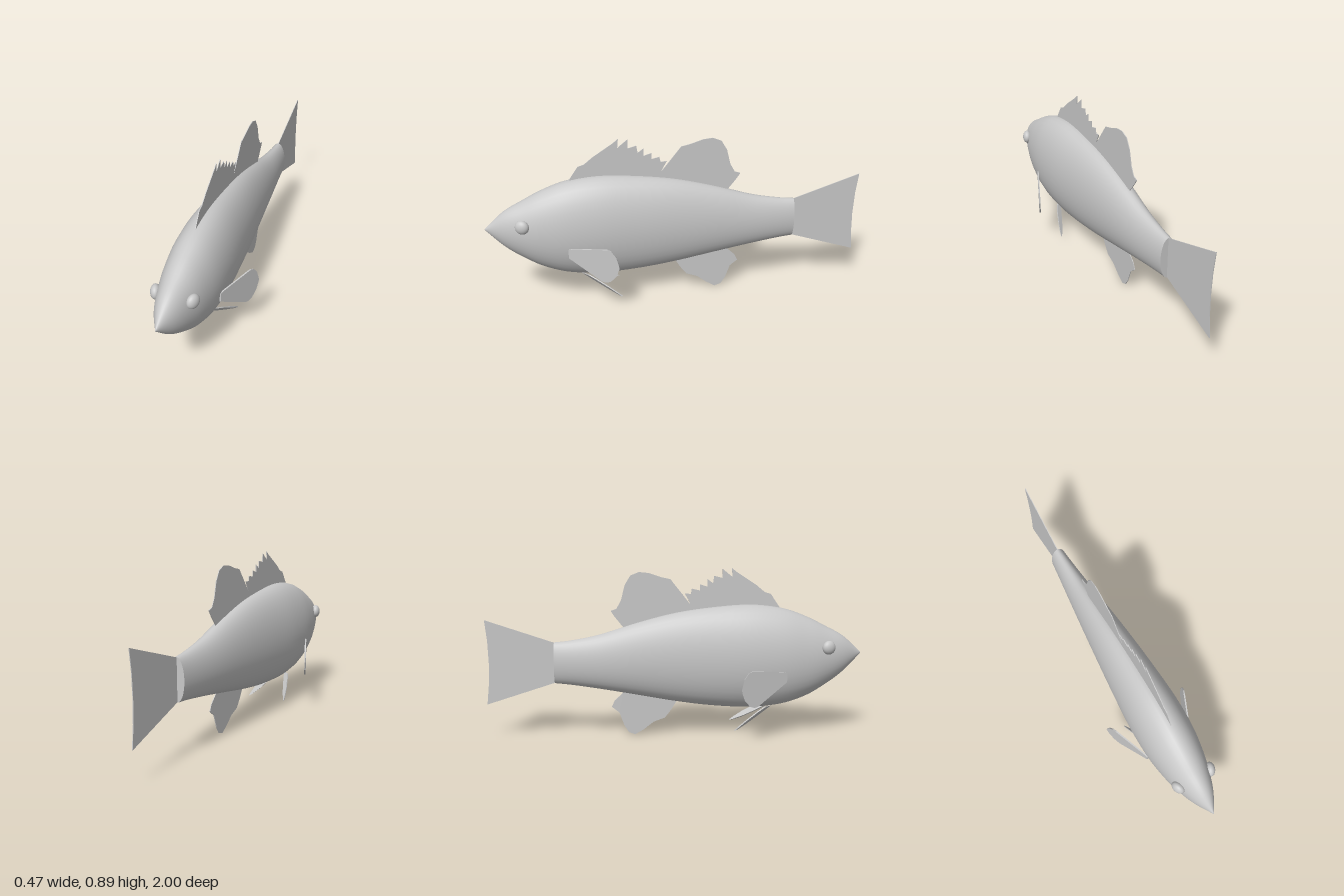
import * as THREE from 'three';

const grey = new THREE.MeshStandardMaterial({ color: 0xc8c8c8 });
grey.name = 'grey';

// body stations: z, top y, bottom y, half width
const STATIONS = [
  [0.997, 0.447, 0.437, 0.003], [0.9, 0.535, 0.338, 0.058], [0.8, 0.59, 0.265, 0.094],
  [0.7, 0.64, 0.208, 0.118], [0.57, 0.685, 0.166, 0.135], [0.4, 0.705, 0.15, 0.137],
  [0.2, 0.692, 0.16, 0.124], [0, 0.663, 0.186, 0.107], [-0.2, 0.612, 0.222, 0.088],
  [-0.4, 0.55, 0.257, 0.067], [-0.55, 0.52, 0.28, 0.051], [-0.64, 0.51, 0.29, 0.042],
];

// smooth loft of elliptical rings from nose to tail root
function bodyGeometry(rings = 66, sides = 36) {
  const top = new THREE.CatmullRomCurve3(STATIONS.map(([z, t, , w]) => new THREE.Vector3(w, t, z)), false, 'catmullrom');
  const low = new THREE.CatmullRomCurve3(STATIONS.map(([z, , b, w]) => new THREE.Vector3(w, b, z)), false, 'catmullrom');
  const pos = [], idx = [];
  for (let i = 0; i <= rings; i++) {
    const a = top.getPoint(i / rings), b = low.getPoint(i / rings);
    const cy = (a.y + b.y) / 2, ry = (a.y - b.y) / 2;
    for (let j = 0; j < sides; j++) {
      const ang = (j / sides) * Math.PI * 2;
      pos.push(a.x * Math.cos(ang), cy + ry * Math.sin(ang), a.z);
      if (i < rings) {
        const p = i * sides + j, q = i * sides + (j + 1) % sides;
        idx.push(p, p + sides, q, q, p + sides, q + sides);
      }
    }
  }
  // nose point
  const nose = pos.length / 3;
  pos.push(0, 0.442, 1);
  for (let j = 0; j < sides; j++) idx.push(nose, j, (j + 1) % sides);
  const g = new THREE.BufferGeometry();
  g.setAttribute('position', new THREE.Float32BufferAttribute(pos, 3));
  g.setIndex(idx);
  g.computeVertexNormals();
  return g;
}

// thin plate from an outline, centred on its own plane
function plate(points, thickness) {
  const shape = new THREE.Shape(points.map(([u, v]) => new THREE.Vector2(u, v)));
  return new THREE.ExtrudeGeometry(shape, { depth: thickness, bevelEnabled: false })
    .translate(0, 0, -thickness / 2);
}

// plate standing in the z-y plane
const uprightPlate = (points, thickness) => plate(points, thickness).rotateY(-Math.PI / 2);

// move every vertex by a rule
function bend(geometry, rule) {
  const p = geometry.attributes.position, v = new THREE.Vector3();
  for (let i = 0; i < p.count; i++) {
    rule(v.fromBufferAttribute(p, i));
    p.setXYZ(i, v.x, v.y, v.z);
  }
  geometry.computeVertexNormals();
  return geometry;
}

// fin outlines as [z, y]
const SPINY_FIN = [
  [0.555, 0.66], [0.555, 0.69], [0.507, 0.76], [0.475, 0.77], [0.43, 0.807], [0.324, 0.877],
  [0.298, 0.898], [0.303, 0.85], [0.25, 0.893], [0.25, 0.845], [0.206, 0.857], [0.2, 0.818],
  [0.17, 0.84], [0.17, 0.80], [0.13, 0.813], [0.13, 0.78], [0.088, 0.79], [0.083, 0.762],
  [0.05, 0.765], [0.07, 0.73], [0.1, 0.66],
];
const SOFT_FIN = [
  [0.1, 0.65], [0.1, 0.682], [-0.025, 0.84], [-0.07, 0.85], [-0.14, 0.873], [-0.19, 0.878],
  [-0.235, 0.86], [-0.265, 0.81], [-0.285, 0.73], [-0.31, 0.685], [-0.34, 0.675],
  [-0.32, 0.645], [-0.275, 0.588], [-0.275, 0.55],
];
const ANAL_FIN = [
  [0.01, 0.22], [0.01, 0.19], [-0.02, 0.14], [-0.055, 0.094], [-0.115, 0.072], [-0.17, 0.03],
  [-0.215, 0.003], [-0.25, 0.015], [-0.275, 0.055], [-0.3, 0.125], [-0.34, 0.157],
  [-0.325, 0.19], [-0.275, 0.238], [-0.275, 0.27],
];
const TAIL_FIN = [
  [-0.62, 0.505], [-0.64, 0.508], [-1, 0.63], [-0.988, 0.52], [-0.984, 0.4], [-0.988, 0.29],
  [-1, 0.178], [-0.64, 0.292], [-0.62, 0.295],
];
const SIDE_FIN = [
  [0.58, 0.358], [0.58, 0.31], [0.42, 0.197], [0.4, 0.192], [0.375, 0.2], [0.345, 0.235],
  [0.328, 0.285], [0.343, 0.345], [0.365, 0.375], [0.385, 0.383], [0.555, 0.365],
];
// belly fin outline as [x, y]
const BELLY_FIN = [
  [0.022, 0.158], [0.056, 0.16], [0.075, 0.138], [0.096, 0.1], [0.108, 0.067], [0.112, 0.046],
  [0.1, 0.053], [0.075, 0.078], [0.05, 0.112],
];

export function createModel() {
  const fish = new THREE.Group();
  fish.name = 'fish';
  const add = (name, geometry) => {
    const mesh = new THREE.Mesh(geometry, grey);
    mesh.name = name;
    fish.add(mesh);
    return mesh;
  };

  add('body', bodyGeometry());
  add('bodyEnd', new THREE.CircleGeometry(1, 36).scale(0.042, 0.11, 1).rotateY(Math.PI))
    .position.set(0, 0.4, -0.64);

  // fins on the centre line
  add('spinyDorsalFin', uprightPlate(SPINY_FIN, 0.004));
  add('softDorsalFin', uprightPlate(SOFT_FIN, 0.004));
  add('analFin', uprightPlate(ANAL_FIN, 0.004));
  add('tailFin', uprightPlate(TAIL_FIN, 0.004));

  // paired parts
  for (const [side, s] of [['left', 1], ['right', -1]]) {
    add(side + 'PectoralFin', bend(uprightPlate(SIDE_FIN, 0.008),
      (v) => { v.x += s * (0.14 + 0.41 * (0.55 - v.z)); }));

    add(side + 'PelvicFin', bend(plate(BELLY_FIN.map(([x, y]) => [s * x, y]), 0.01),
      (v) => { v.z += 0.5 + (v.y - 0.155) - (s * v.x - 0.03); }));

    const eye = add(side + 'Eye', new THREE.SphereGeometry(0.037, 24, 16));
    eye.scale.x = 0.68;
    eye.position.set(s * 0.093, 0.484, 0.805);
    eye.rotation.y = -s * 0.35;
  }
  return fish;
}
